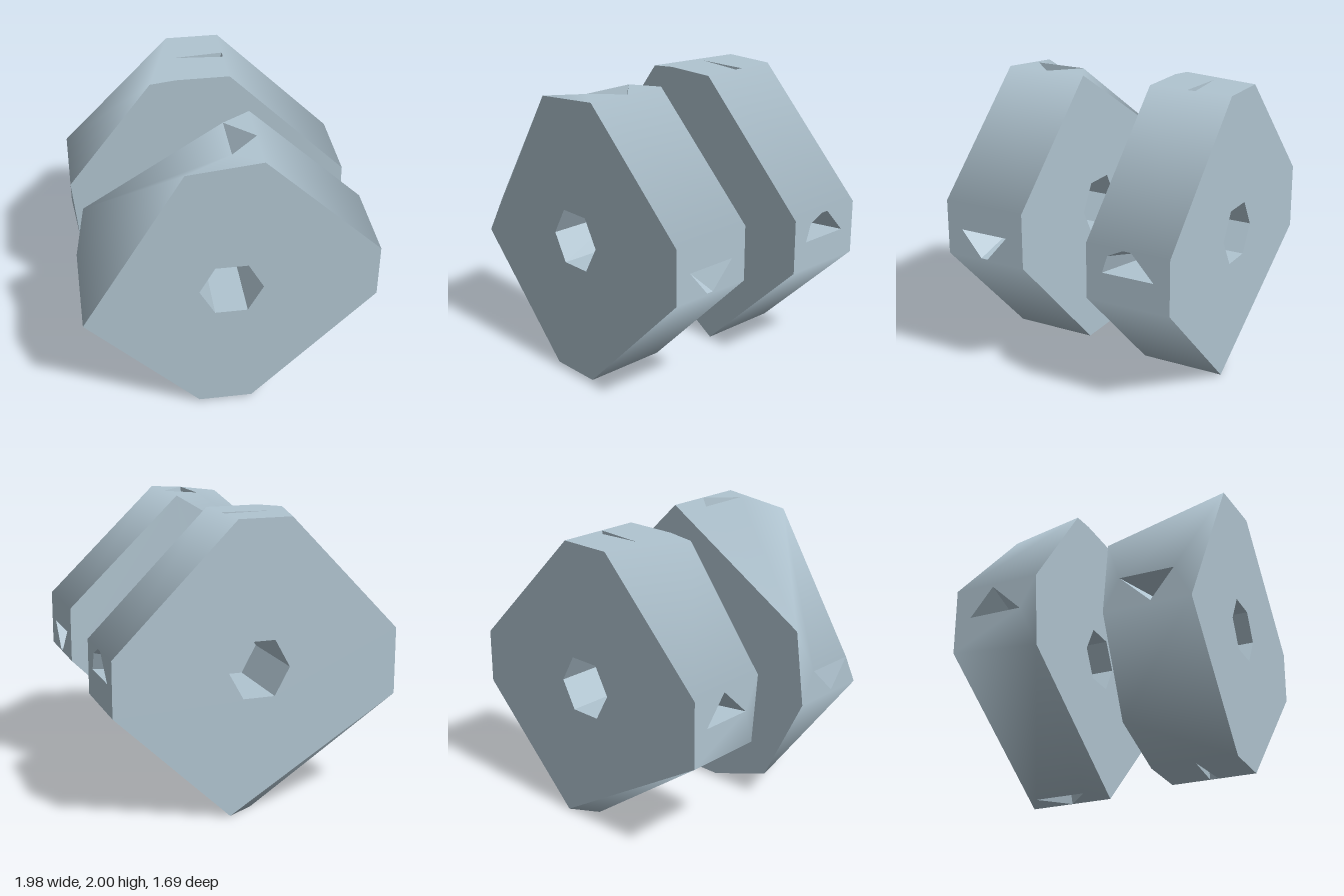
import * as THREE from 'three';

const Z0 = 0.245, Z1 = 0.845; // inner and outer face of a collar
const steel = new THREE.MeshStandardMaterial({ color: 0xb0c4d0 });
steel.name = 'pale steel';

const V = (x, y, z) => new THREE.Vector3(x, y, z);

// Collects triangles; "toward" says which way a face looks, "smooth" gives vertex normals
function builder() {
  const pos = [], nor = [];
  const tri = (a, b, c, toward, smooth) => {
    const n = V(0, 0, 0).crossVectors(b.clone().sub(a), c.clone().sub(a));
    if (n.lengthSq() < 1e-12) return;
    n.normalize();
    const mid = a.clone().add(b).add(c).divideScalar(3);
    const flip = n.dot(toward(mid)) < 0;
    if (flip) n.negate();
    for (const p of flip ? [a, c, b] : [a, b, c]) {
      const m = smooth ? smooth(p) : n;
      pos.push(p.x, p.y, p.z);
      nor.push(m.x, m.y, m.z);
    }
  };
  const fan = (pts, toward, smooth) => {
    for (let i = 1; i < pts.length - 1; i++) tri(pts[0], pts[i], pts[i + 1], toward, smooth);
  };
  // Flat polygon with holes; u and v name the two axes of its plane
  const plate = (outline, holes, u, v, toward) => {
    const flat = (l) => l.map((p) => new THREE.Vector2(p[u], p[v]));
    const o = outline.slice(), hs = holes.map((h) => h.slice());
    if (THREE.ShapeUtils.isClockWise(flat(o))) o.reverse();
    hs.forEach((h) => { if (!THREE.ShapeUtils.isClockWise(flat(h))) h.reverse(); });
    const all = o.concat(...hs);
    for (const [a, b, c] of THREE.ShapeUtils.triangulateShape(flat(o), hs.map(flat)))
      tri(all[a], all[b], all[c], toward);
  };
  const mesh = (name) => {
    const g = new THREE.BufferGeometry();
    g.setAttribute('position', new THREE.Float32BufferAttribute(pos, 3));
    g.setAttribute('normal', new THREE.Float32BufferAttribute(nor, 3));
    const m = new THREE.Mesh(g, steel);
    m.name = name;
    return m;
  };
  return { tri, fan, plate, mesh };
}

const radial = (p) => V(p.x, p.y - 1, 0);
// Rim normals: square to the four flats, round in between
function rimNormal(p) {
  if (Math.abs(p.x) > 0.95) return V(Math.sign(p.x), 0, 0);
  if (Math.abs(p.y - 1) > 0.95) return V(0, Math.sign(p.y - 1), 0);
  return radial(p).normalize();
}

// One collar: tx/wx are the upper left corners (outer, inner), c the lower left inner corner
function makeCollar(t, w, c, sideHole) {
  const group = new THREE.Group();
  const ring = (list, z) => list.map(([x, y]) => V(x, y, z));
  const shared = [[0.2, 2], [0.99, 1.24], [0.99, 0.86], [0.15, 0.02], [-0.22, 0.02]];
  const outer = ring([...shared, [-0.99, 0.81], t], Z1);
  const inner = ring([...shared, c, [-0.99, 0.81], w], Z0);
  const hex = [[0.215, 1.01], [0.11, 1.2], [-0.11, 1.2], [-0.215, 1.01], [-0.11, 0.82], [0.11, 0.82]];

  // Flat end faces with the six-sided bore
  const faces = builder();
  faces.plate(outer, [ring(hex, Z1)], 'x', 'y', () => V(0, 0, 1));
  faces.plate(inner, [ring(hex, Z0)], 'x', 'y', () => V(0, 0, -1));
  group.add(faces.mesh('endFaces'));

  const bore = builder();
  const h0 = ring(hex, Z0), h1 = ring(hex, Z1);
  for (let i = 0; i < 6; i++) {
    const j = (i + 1) % 6;
    bore.fan([h0[i], h0[j], h1[j], h1[i]], (m) => V(-m.x, 1.01 - m.y, 0));
  }
  group.add(bore.mesh('bore'));

  // Screw hole outlines on the four sides
  const right = sideHole.map(([y, z]) => V(0.99, y, z));
  const bottom = [V(-0.205, 0.02, 0.55), V(0.145, 0.02, 0.58), V(0.145, 0.02, 0.52)];
  const top = [V(0.01, 2, 0.73), V(0.01, 2, 0.36), V(0.2, 2, 0.54)];
  const left = [V(-0.99, 1.03, 0.73), V(-0.99, 1.03, 0.36), V(-0.99, 0.83, 0.57)];

  // Outer rim
  const rim = builder();
  const face = (...pts) => rim.fan(pts, radial, rimNormal);
  const [topO, r1O, r2O, b1O, b2O, lO, tO] = outer;
  const [topI, r1I, r2I, b1I, b2I, cI, lI, wI] = inner;
  rim.plate([r1O, r2O, r2I, r1I], [right], 'y', 'z', radial);
  rim.plate([b1O, b2O, b2I, b1I], [bottom], 'x', 'z', radial);
  face(topO, r1O, r1I, topI);
  face(r2O, b1O, b1I, r2I);
  // top, around its hole
  face(topO, top[2], top[0]);
  face(topI, top[1], top[2]);
  face(topO, top[0], tO);
  face(topI, wI, top[1]);
  face(top[0], top[1], wI);
  face(top[0], wI, tO);
  // left, around its hole
  face(tO, wI, left[1]);
  face(tO, left[1], left[0]);
  face(tO, left[0], lO);
  face(wI, lI, left[1]);
  face(lO, left[0], left[2]);
  face(lO, left[2], lI);
  face(lI, left[2], left[1]);
  // lower left slope
  face(lO, lI, cI);
  face(lO, cI, b2O);
  face(b2O, cI, b2I);
  group.add(rim.mesh('rim'));

  // Tapered screw holes
  const pits = [
    ['rightScrewHole', right, V(0.5, 1.02, 0.55)],
    ['bottomScrewHole', bottom, V(0, 0.5, 0.55)],
    ['topScrewHole', top, V(0.04, 1.52, 0.545)],
    ['leftScrewHole', left, V(-0.5, 1.0, 0.55)],
  ];
  for (const [name, loop, tip] of pits) {
    const pit = builder();
    const centre = loop.reduce((s, p) => s.add(p), V(0, 0, 0)).divideScalar(loop.length);
    loop.forEach((p, i) =>
      pit.tri(p, loop[(i + 1) % loop.length], tip, (m) => centre.clone().sub(m)));
    group.add(pit.mesh(name));
  }
  return group;
}

export function createModel() {
  const model = new THREE.Group();
  model.name = 'collarPair';

  const front = makeCollar([-0.3, 1.95], [-0.92, 1.33], [-0.68, 0.18],
    [[1.05, 0.73], [1.05, 0.36], [0.87, 0.53], [0.87, 0.58]]);
  front.name = 'frontCollar';
  model.add(front);

  // The back collar is turned half round about the x axis
  const back = makeCollar([-0.99, 1.27], [-0.95, 1.3], [-0.4, 0.04],
    [[1.04, 0.73], [1.04, 0.36], [0.92, 0.4], [0.865, 0.51], [0.865, 0.57]]);
  back.name = 'backCollar';
  back.rotation.x = Math.PI;
  back.position.y = 2;
  model.add(back);
  return model;
}
